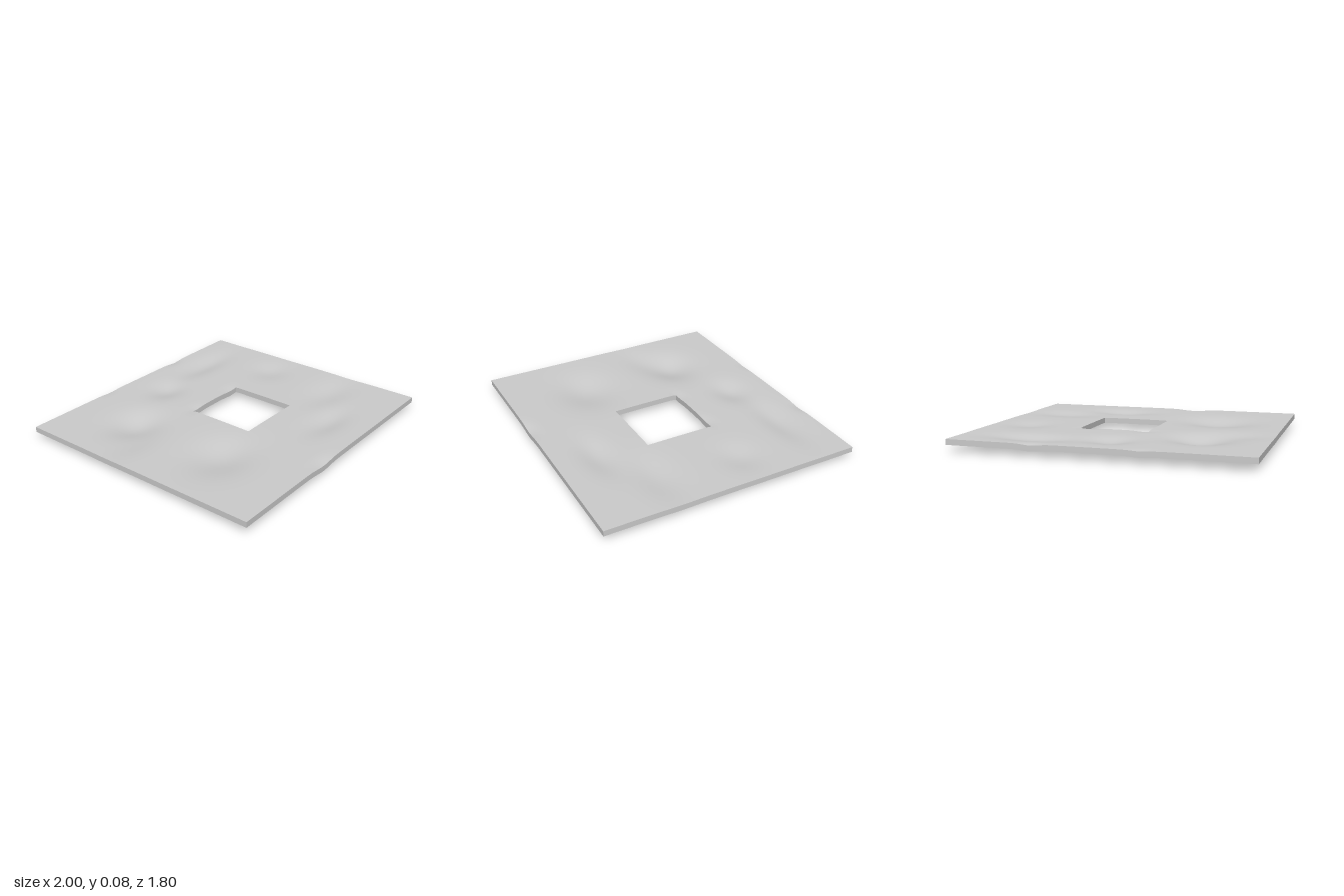
import * as THREE from 'three';

const TOP = 0.09, BOTTOM = 0.052;
const outer = { x0: -1, x1: 1, z0: -0.9, z1: 0.9 };
const hole = { x0: -0.15, x1: 0.34, z0: -0.22, z1: 0.27 };

// Dents: x, z, x spread, z spread, depth
const dents = [
  [-0.55, -0.39, 0.13, 0.11, 0.046],
  [-0.01, -0.6, 0.1, 0.08, 0.028],
  [0.5, -0.67, 0.19, 0.07, 0.026],
  [0.74, -0.19, 0.1, 0.09, 0.018],
  [0.3, 0.61, 0.15, 0.07, 0.025],
  [0.68, 0.38, 0.17, 0.09, 0.02],
  [-0.52, 0.33, 0.16, 0.13, 0.038],
  [-0.75, -0.22, 0.13, 0.08, 0.012],
  // chipped spots along the rims
  [-0.2, 0.9, 0.07, 0.03, 0.014],
  [0.41, -0.9, 0.05, 0.02, 0.01],
  [-0.3, -0.9, 0.05, 0.02, 0.006],
  [-0.12, -0.23, 0.05, 0.02, 0.009],
  [0.27, -0.23, 0.05, 0.02, 0.009],
];

const sag = (x, z) => dents.reduce((sum, [cx, cz, sx, sz, depth]) =>
  sum + depth * Math.exp(-0.5 * (((x - cx) / sx) ** 2 + ((z - cz) / sz) ** 2)), 0);

// Grid lines that land exactly on the given stops
function gridLines(stops, step = 0.035) {
  const lines = [stops[0]];
  for (let i = 1; i < stops.length; i++) {
    const a = stops[i - 1], b = stops[i], n = Math.ceil((b - a) / step);
    for (let k = 1; k <= n; k++) lines.push(k === n ? b : a + (b - a) * k / n);
  }
  return lines;
}
const xs = gridLines([outer.x0, hole.x0, hole.x1, outer.x1]);
const zs = gridLines([outer.z0, hole.z0, hole.z1, outer.z1]);

function build(name, positions, index) {
  const g = new THREE.BufferGeometry();
  g.setAttribute('position', new THREE.Float32BufferAttribute(positions, 3));
  g.setIndex(index);
  g.computeVertexNormals();
  const mesh = new THREE.Mesh(g, new THREE.MeshStandardMaterial({ color: 0xcccccc }));
  mesh.name = name;
  return mesh;
}

// Dented sheet with the rectangular opening left out
function sheet(name, y, faceUp) {
  const pos = [], index = [], w = xs.length;
  for (const z of zs) for (const x of xs) pos.push(x, y - sag(x, z), z);
  for (let j = 0; j < zs.length - 1; j++) for (let i = 0; i < w - 1; i++) {
    const mx = (xs[i] + xs[i + 1]) / 2, mz = (zs[j] + zs[j + 1]) / 2;
    if (mx > hole.x0 && mx < hole.x1 && mz > hole.z0 && mz < hole.z1) continue;
    const a = j * w + i, b = a + 1, c = a + w, d = c + 1;
    if (faceUp) index.push(a, c, b, b, c, d);
    else index.push(a, b, c, b, d, c);
  }
  return build(name, pos, index);
}

// Vertical rim around a rectangle, facing outward or into the opening
function rim(name, r, inward) {
  const pos = [], index = [];
  const rx = xs.filter(x => x >= r.x0 && x <= r.x1), rz = zs.filter(z => z >= r.z0 && z <= r.z1);
  const sides = [
    rx.map(x => [x, r.z1]),
    [...rz].reverse().map(z => [r.x1, z]),
    [...rx].reverse().map(x => [x, r.z0]),
    rz.map(z => [r.x0, z]),
  ];
  for (const side of sides) side.forEach(([x, z], i) => {
    const a = pos.length / 3, s = sag(x, z);
    pos.push(x, BOTTOM - s, z, x, TOP - s, z);
    if (i === side.length - 1) return;
    if (inward) index.push(a, a + 1, a + 2, a + 2, a + 1, a + 3);
    else index.push(a, a + 2, a + 1, a + 2, a + 3, a + 1);
  });
  return build(name, pos, index);
}

export function createModel() {
  const panel = new THREE.Group();
  panel.name = 'dentedPanel';
  panel.add(
    sheet('topSurface', TOP, true),
    sheet('underside', BOTTOM, false),
    rim('outerRim', outer, false),
    rim('openingRim', hole, true),
  );
  return panel;
}
